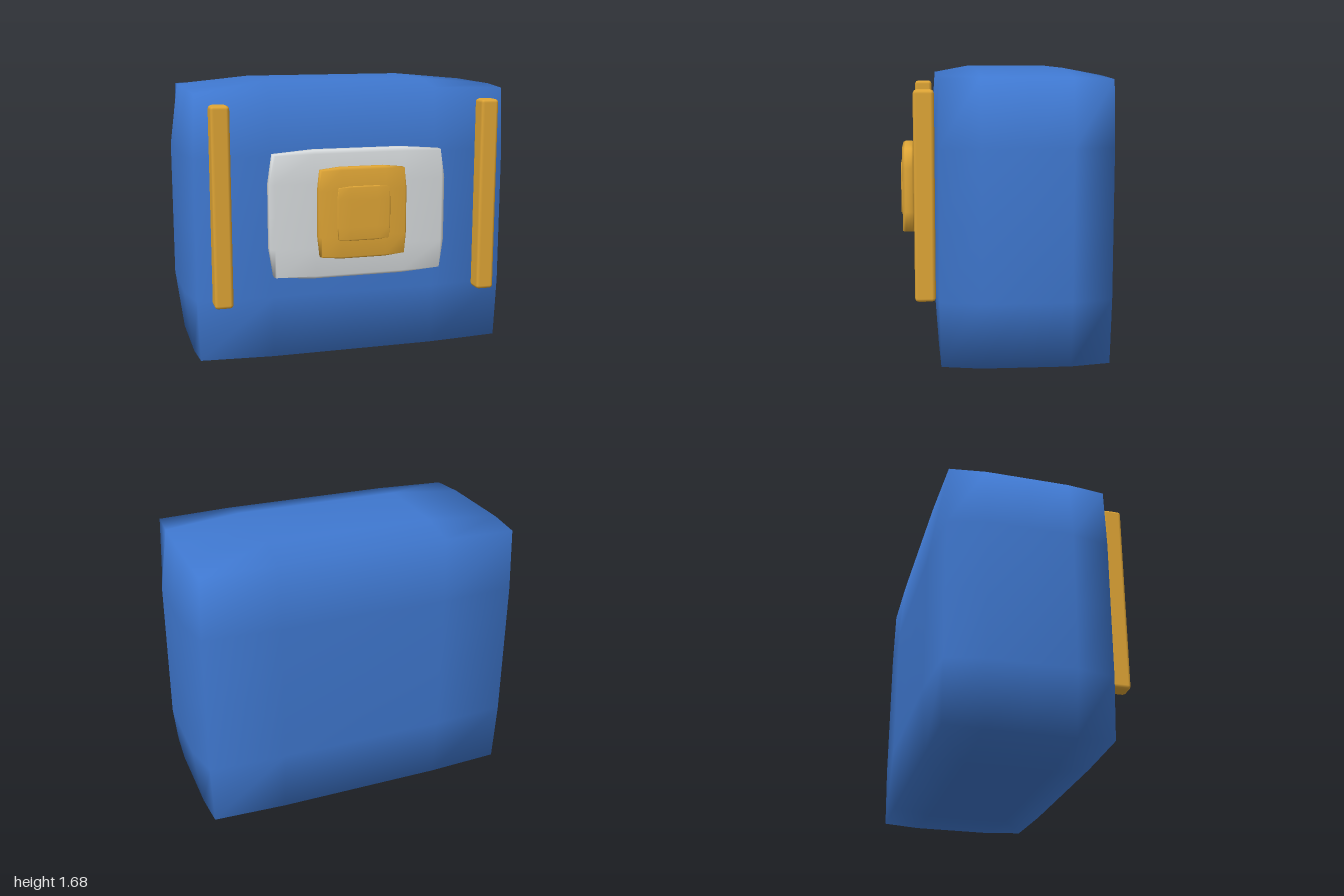
import * as THREE from 'three';
import { mergeVertices } from 'three/addons/utils/BufferGeometryUtils.js';
import { RoundedBoxGeometry } from 'three/addons/geometries/RoundedBoxGeometry.js';

const blue = new THREE.MeshStandardMaterial({ color: 0x3f78d0 });
const gold = new THREE.MeshStandardMaterial({ color: 0xe0a636 });
const pale = new THREE.MeshStandardMaterial({ color: 0xd8dcde });

// Box of 4 segments per side whose edges and corners are drawn in, with smooth normals
function softBox(w, h, d) {
  const box = new THREE.BoxGeometry(w, h, d, 4, 4, 4);
  box.deleteAttribute('uv');
  box.deleteAttribute('normal');
  const geo = mergeVertices(box);
  const half = [w / 2, h / 2, d / 2];
  const pos = geo.attributes.position;
  const pull = [1, 1, 0.95, 0.937];
  for (let i = 0; i < pos.count; i++) {
    const p = [pos.getX(i), pos.getY(i), pos.getZ(i)];
    const outer = p.map((v, k) => Math.abs(v) > half[k] * 0.99);
    const f = pull[outer.filter(Boolean).length];
    const q = p.map((v, k) => (outer[k] ? v * f : v));
    pos.setXYZ(i, q[0], q[1], q[2]);
  }
  geo.computeVertexNormals();
  return geo;
}

export function createModel() {
  const group = new THREE.Group();
  const add = (name, geo, mat, x, y, z) => {
    const mesh = new THREE.Mesh(geo, mat);
    mesh.name = name;
    mesh.position.set(x, y, z);
    group.add(mesh);
  };

  // Main body
  add('body', softBox(2, 1.68, 1), blue, 0, 0.84, -0.1);

  // Stacked front panel, clasp plate and raised pad
  add('frontPanel', softBox(1.07, 0.76, 0.11), pale, 0, 0.92, 0.453);
  add('claspPlate', softBox(0.53, 0.535, 0.08), gold, 0, 0.94, 0.547);
  add('claspPad', softBox(0.32, 0.32, 0.03), gold, 0, 0.94, 0.58);

  // Vertical bars on both sides
  for (const side of [-1, 1]) {
    add(side > 0 ? 'leftBar' : 'rightBar',
      new RoundedBoxGeometry(0.11, 1.17, 0.115, 1, 0.02), gold, side * 0.81, 0.985, 0.452);
  }
  return group;
}
